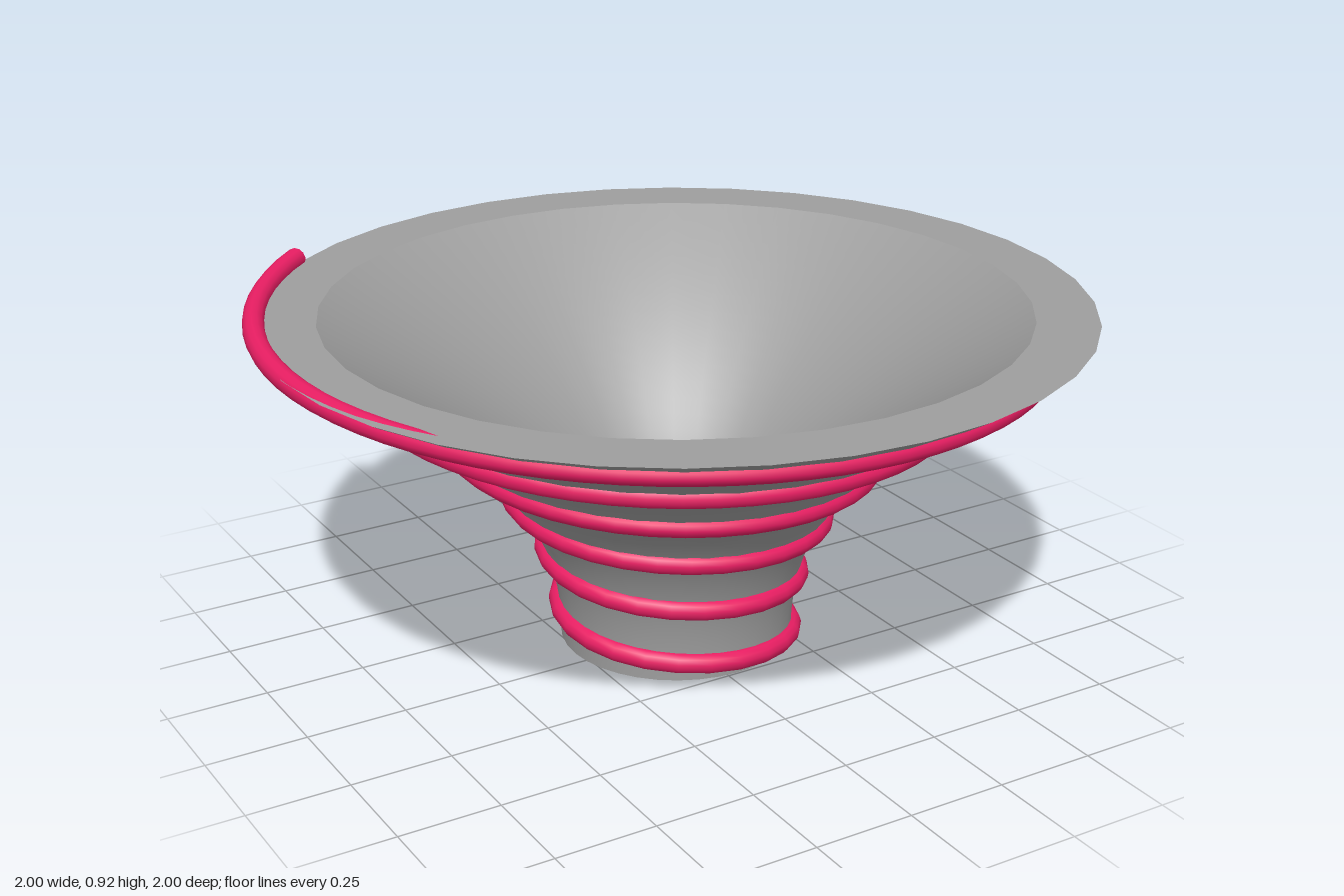
import * as THREE from 'three';

const BASE = 0.03, TOP = 0.887, TURNS = 5.64, CORD_RADIUS = 0.026;

// Flared outer radius at a given height: upright at the foot, nearly straight near the rim
function flare(y) {
  const t = Math.max(0, (y - BASE) / (TOP - BASE));
  return 0.29 + 0.71 * t * t * (0.353 + 1.29 * t - 0.643 * t * t);
}

// Wall profile from bottom to top, scaled inward for the inner face
function wallProfile(scale) {
  return Array.from({ length: 25 }, (_, i) => {
    const y = BASE + (TOP - BASE) * i / 24;
    return new THREE.Vector2(flare(y) * scale, y);
  });
}

// Rising spiral that hugs the outer wall
class Spiral extends THREE.Curve {
  getPoint(t, target = new THREE.Vector3()) {
    const a = t * TURNS * Math.PI * 2;
    const y = 0.028 + 0.867 * t;
    const r = flare(y);
    return target.set(r * Math.cos(a), y, r * Math.sin(a));
  }
}

export function createModel() {
  const model = new THREE.Group();
  const grey = new THREE.MeshStandardMaterial({ color: 0x9e9e9e });
  const pink = new THREE.MeshStandardMaterial({ color: 0xe91e63 });

  const add = (name, geometry, material, parent) => {
    const mesh = new THREE.Mesh(geometry, material);
    mesh.name = name;
    parent.add(mesh);
    return mesh;
  };

  // Flared bowl: two smooth walls joined by flat rings, open through the middle
  const bowl = new THREE.Group();
  bowl.name = 'bowl';
  const outer = wallProfile(1);
  const inner = wallProfile(0.85).reverse();
  const parts = {
    outerWall: outer,
    topRim: [outer[outer.length - 1], inner[0]],
    innerWall: inner,
    bottomRim: [inner[inner.length - 1], outer[0]],
  };
  for (const [name, points] of Object.entries(parts)) {
    add(name, new THREE.LatheGeometry(points, 36), grey, bowl);
  }
  model.add(bowl);

  // Spiral cord wound around the outside, with closed ends
  const cord = new THREE.Group();
  cord.name = 'spiralCord';
  const path = new Spiral();
  path.arcLengthDivisions = 600;
  add('cord', new THREE.TubeGeometry(path, 240, CORD_RADIUS, 12, false), pink, cord);
  for (const [name, t, sign] of [['cordStart', 0, -1], ['cordEnd', 1, 1]]) {
    const cap = add(name, new THREE.CircleGeometry(CORD_RADIUS, 12), pink, cord);
    const direction = path.getTangentAt(t).multiplyScalar(sign);
    cap.position.copy(path.getPointAt(t));
    cap.quaternion.setFromUnitVectors(new THREE.Vector3(0, 0, 1), direction);
  }
  model.add(cord);

  return model;
}
